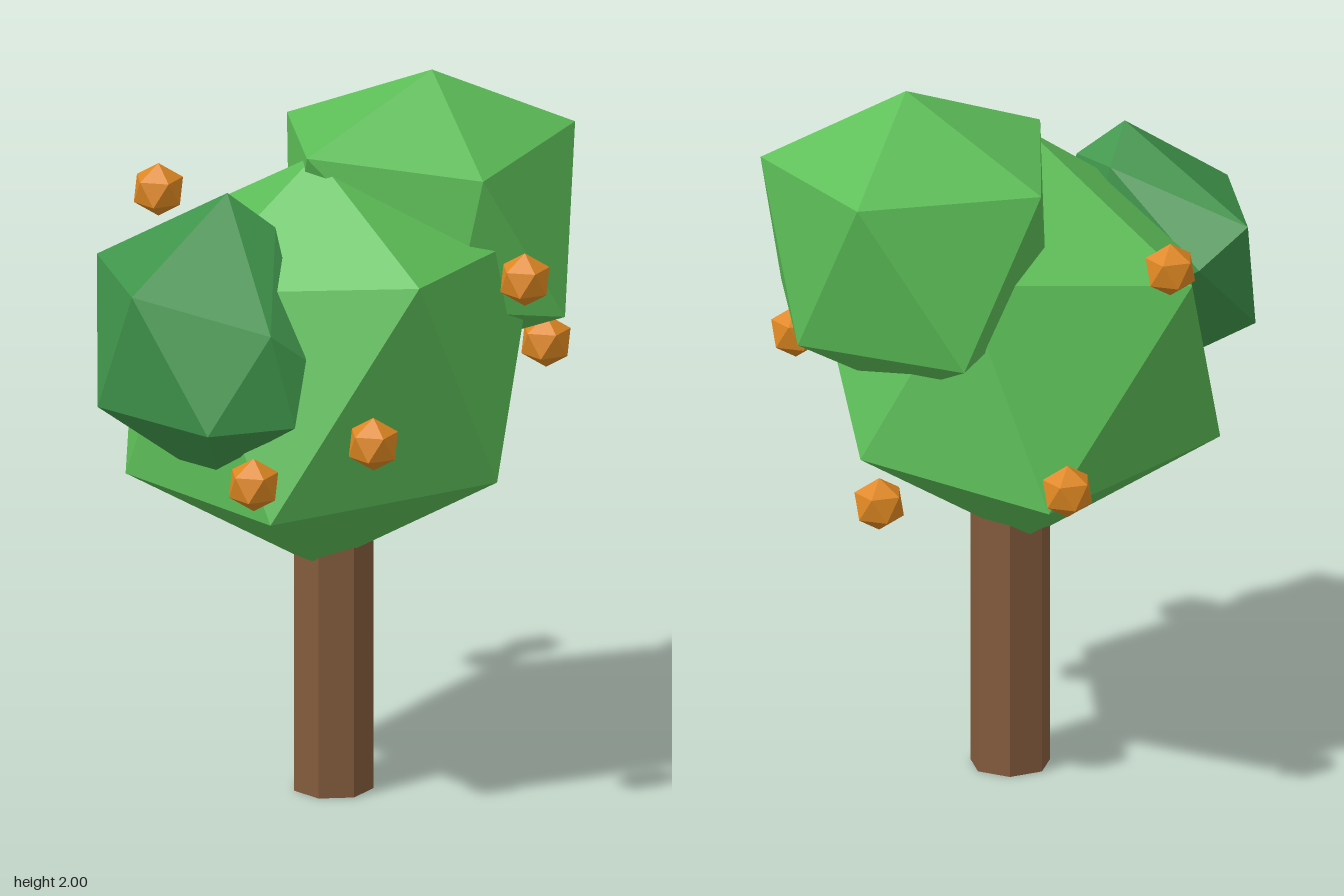
import * as THREE from 'three';
import { ConvexGeometry } from 'three/addons/geometries/ConvexGeometry.js';

const material = (name, color) => {
  const m = new THREE.MeshStandardMaterial({ color, flatShading: true });
  m.name = name;
  return m;
};

// Faceted leaf clump: the hull of a few corner points
function clump(name, points, mat) {
  const geo = new ConvexGeometry(points.map((p) => new THREE.Vector3(...p)));
  const mesh = new THREE.Mesh(geo, mat);
  mesh.name = name;
  return mesh;
}

export function createModel() {
  const tree = new THREE.Group();
  tree.name = 'fruitTree';
  const bark = material('barkBrown', 0x835b3d);
  const leaf = material('leafGreen', 0x5cbd57);
  const darkLeaf = material('darkLeafGreen', 0x40954b);
  const orange = material('fruitOrange', 0xde8722);

  // Seven-sided trunk, its top hidden in the leaves
  const trunk = new THREE.Mesh(new THREE.CylinderGeometry(0.111, 0.111, 0.95, 7), bark);
  trunk.name = 'trunk';
  trunk.position.set(-0.008, 0.475, -0.006);
  trunk.rotation.y = THREE.MathUtils.degToRad(25);
  tree.add(trunk);

  // Main crown: top, upper ring, lower ring, bottom
  tree.add(clump('mainCrown', [
    [-0.06, 1.82, 0.04],
    [0.17, 1.59, 0.53], [0.55, 1.57, 0], [0.12, 1.55, -0.42], [-0.5, 1.5, -0.3], [-0.44, 1.51, 0.26],
    [-0.235, 0.925, 0.52], [0.405, 0.96, 0.32], [0.4, 1.02, -0.36], [-0.11, 0.94, -0.565], [-0.578, 0.93, 0.04],
    [-0.05, 0.64, 0.02],
  ], leaf));

  // Upper crown
  tree.add(clump('upperCrown', [
    [0.275, 2, -0.12],
    [0.67, 1.825, -0.16], [0.38, 1.78, 0.2], [-0.09, 1.83, 0.1], [-0.09, 1.8, -0.4], [0.41, 1.805, -0.52],
    [0.612, 1.36, 0.12], [0.57, 1.35, -0.35], [0.12, 1.35, -0.56], [-0.11, 1.42, -0.15], [0.3, 1.42, 0.23],
    [0.28, 1.16, -0.2],
  ], leaf));

  // Small dark crown at the side
  tree.add(clump('sideCrown', [
    [-0.32, 1.78, 0.22],
    [-0.653, 1.55, 0.01], [-0.6, 1.55, 0.4], [-0.23, 1.45, 0.48], [-0.19, 1.68, 0.23], [-0.28, 1.69, 0.1],
    [-0.675, 1.185, 0.23], [-0.41, 1.195, 0.555], [-0.13, 1.37, 0.45], [-0.165, 1.19, 0.49], [-0.18, 1.22, 0.1],
    [-0.52, 1.45, -0.06], [-0.46, 1.05, 0.3], [-0.37, 1.05, 0.4],
  ], darkLeaf));

  // Fruits, each with a corner pointing up
  const fruitGeo = new THREE.IcosahedronGeometry(0.075, 0);
  fruitGeo.rotateZ(-Math.atan(2 / (1 + Math.sqrt(5))));
  [
    [0.483, 1.53, 0.3], [0.573, 1.255, 0], [0.04, 1.165, 0.572], [-0.28, 1.04, 0.51],
    [0.35, 0.935, -0.47], [-0.16, 1.015, -0.585], [-0.44, 1.59, -0.405], [-0.58, 1.39, 0.13],
  ].forEach((p, i) => {
    const fruit = new THREE.Mesh(fruitGeo, orange);
    fruit.name = 'fruit' + (i + 1);
    fruit.position.set(...p);
    tree.add(fruit);
  });

  return tree;
}
